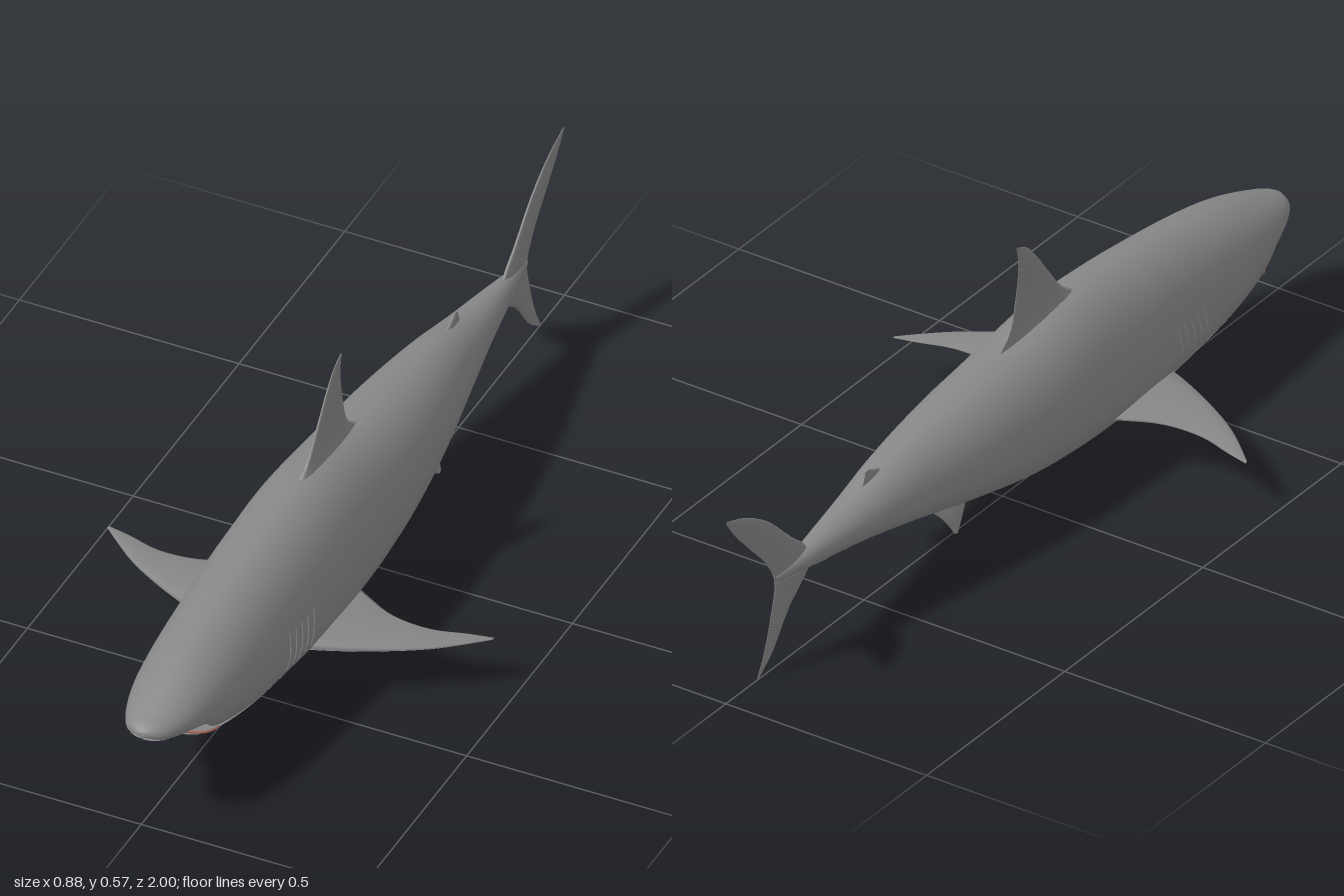
import * as THREE from 'three';

const V = (x, y, z) => new THREE.Vector3(x, y, z);
const paint = (name, color) => {
  const m = new THREE.MeshStandardMaterial({ color });
  m.name = name;
  return m;
};

// Body stations: z, top, bottom, height of widest point, half width, belly edge angle below the side
const STATIONS = [
  [1.0, 0.236, 0.222, 0.229, 0.008, 0.4],
  [0.985, 0.245, 0.21, 0.226, 0.036, 0.4],
  [0.95, 0.258, 0.198, 0.223, 0.06, 0.4],
  [0.9, 0.276, 0.184, 0.218, 0.08, 0.4],
  [0.865, 0.288, 0.168, 0.213, 0.09, 0.4],
  [0.845, 0.294, 0.135, 0.21, 0.095, 0.45],
  [0.8, 0.307, 0.112, 0.2, 0.104, 0.45],
  [0.7, 0.328, 0.086, 0.184, 0.117, 0.45],
  [0.55, 0.35, 0.067, 0.172, 0.128, 0.45],
  [0.4, 0.366, 0.053, 0.166, 0.136, 0.5],
  [0.2, 0.375, 0.047, 0.164, 0.138, 0.7],
  [0.0, 0.347, 0.06, 0.172, 0.131, 0.9],
  [-0.2, 0.326, 0.1, 0.19, 0.113, 0.9],
  [-0.4, 0.3, 0.145, 0.205, 0.08, 0.8],
  [-0.55, 0.266, 0.172, 0.212, 0.053, 0.7],
  [-0.7, 0.24, 0.188, 0.212, 0.027, 0.7],
  [-0.82, 0.217, 0.199, 0.208, 0.004, 0.7],
];
const profile = new THREE.CubicInterpolant(
  STATIONS.map(s => -s[0]), STATIONS.flatMap(s => s.slice(1)), 5);
const station = z => {
  const [top, bottom, mid, width, edge] = profile.evaluate(-z);
  return { top, bottom, mid, width, edge };
};

// Point on the skin at a given z and angle round the body
function skin(z, angle) {
  const s = station(z), k = Math.sin(angle);
  return V(s.width * Math.cos(angle), s.mid + k * (k > 0 ? s.top - s.mid : s.mid - s.bottom), z);
}
// Point on the skin at a given z and height, on one side
function skinAt(z, y, side) {
  const s = station(z);
  const k = y > s.mid ? (y - s.mid) / (s.top - s.mid) : (y - s.mid) / (s.mid - s.bottom);
  const p = skin(z, Math.asin(Math.max(-1, Math.min(1, k))));
  p.x *= side;
  return p;
}

function meshFrom(name, points, faces, materials) {
  const g = new THREE.BufferGeometry().setFromPoints(points);
  g.setIndex(faces.flat());
  g.addGroup(0, faces[0].length, 0);
  g.addGroup(faces[0].length, faces[1].length, 1);
  g.computeVertexNormals();
  const mesh = new THREE.Mesh(g, materials);
  mesh.name = name;
  return mesh;
}

// Streamlined body: grey back and white belly share one smooth skin
function makeBody(back, belly) {
  const rings = 100, upper = 26, lower = 16, n = upper + lower;
  const points = [], faces = [[], []];
  for (let i = 0; i <= rings; i++) {
    const z = 1 - 1.82 * Math.pow(i / rings, 1.4), e = station(z).edge;
    for (let j = 0; j < n; j++) {
      const angle = j <= upper
        ? -e + (Math.PI + 2 * e) * j / upper
        : Math.PI + e + (Math.PI - 2 * e) * (j - upper) / lower;
      points.push(skin(z, angle));
    }
  }
  for (let i = 0; i < rings; i++) {
    for (let j = 0; j < n; j++) {
      const a = i * n + j, b = i * n + (j + 1) % n;
      faces[j < upper ? 0 : 1].push(a, a + n, b, b, a + n, b + n);
    }
  }
  // Close the nose tip
  for (let j = 1; j < n - 1; j++) faces[0].push(0, j, j + 1);
  return meshFrom('body', points, faces, [back, belly]);
}

// Fin lofted through foil sections between a leading and a trailing edge
function makeFin(name, lead, trail, thick, normal, materials) {
  const rows = 20, K = 8, n = 2 * K;
  const front = new THREE.CatmullRomCurve3(lead), rear = new THREE.CatmullRomCurve3(trail);
  const points = [], faces = [[], []];
  for (let i = 0; i <= rows; i++) {
    const u = i / rows, f = u * (thick.length - 1), q = Math.min(Math.floor(f), thick.length - 2);
    const h = thick[q] + (thick[q + 1] - thick[q]) * (f - q);
    const a = front.getPoint(u), b = rear.getPoint(u);
    for (let j = 0; j < n; j++) {
      const t = (1 - Math.cos(Math.PI * j / K)) / 2;
      const foil = 2.6 * Math.sqrt(t) * (1 - t) * h * (j < K ? 1 : -1);
      points.push(a.clone().lerp(b, t).addScaledVector(normal, foil));
    }
  }
  const chord = trail[0].clone().sub(lead[0]), span = lead[1].clone().sub(lead[0]);
  const flip = chord.cross(span).dot(normal) < 0;
  for (let i = 0; i < rows; i++) {
    for (let j = 0; j < n; j++) {
      const a = i * n + j, b = i * n + (j + 1) % n, c = a + n, d = b + n;
      faces[j < K ? 0 : 1].push(...(flip ? [a, c, b, b, c, d] : [a, b, c, b, d, c]));
    }
  }
  return meshFrom(name, points, faces, materials);
}

function makeTube(name, points, radius, material) {
  const curve = new THREE.CatmullRomCurve3(points);
  const mesh = new THREE.Mesh(new THREE.TubeGeometry(curve, 30, radius, 6), material);
  mesh.name = name;
  return mesh;
}

export function createModel() {
  const back = paint('grey back', 0x868686);
  const belly = paint('off-white belly', 0xdcdcdc);
  const red = paint('dull red mouth', 0xb06a60);
  const model = new THREE.Group();
  model.name = 'shark';
  model.add(makeBody(back, belly));

  // Upright fins on the centre line, edges given as [z, y]
  const upright = (name, lead, trail, thick) => model.add(makeFin(name,
    lead.map(([z, y]) => V(0, y, z)), trail.map(([z, y]) => V(0, y, z)), thick, V(1, 0, 0), [back, back]));
  upright('dorsalFin',
    [[0.3, 0.35], [0.22, 0.395], [0.17, 0.455], [0.125, 0.515], [0.09, 0.553], [0.056, 0.57]],
    [[-0.03, 0.335], [0.028, 0.385], [0.048, 0.45], [0.058, 0.515], [0.056, 0.55], [0.05, 0.569]],
    [0.022, 0.009, 0.006, 0.004, 0.002, 0.001]);
  upright('tailFin',
    [[-0.882, 0.002], [-0.83, 0.045], [-0.775, 0.12], [-0.69, 0.205], [-0.775, 0.295], [-0.85, 0.365], [-0.93, 0.413], [-0.997, 0.436]],
    [[-0.888, 0.004], [-0.862, 0.055], [-0.838, 0.13], [-0.824, 0.205], [-0.855, 0.265], [-0.91, 0.325], [-0.965, 0.385], [-1.0, 0.432]],
    [0.001, 0.003, 0.006, 0.009, 0.006, 0.005, 0.003, 0.001]);
  upright('secondDorsalFin',
    [[-0.43, 0.285], [-0.46, 0.297], [-0.485, 0.307]],
    [[-0.51, 0.268], [-0.5, 0.29], [-0.495, 0.305]], [0.006, 0.004, 0.001]);
  upright('analFin',
    [[-0.47, 0.17], [-0.5, 0.162], [-0.53, 0.152]],
    [[-0.55, 0.18], [-0.54, 0.166], [-0.54, 0.153]], [0.006, 0.004, 0.001]);

  for (const side of [1, -1]) {
    const label = side > 0 ? 'left' : 'right';
    const mirror = list => list.map(([x, y, z]) => V(side * x, y, z));

    // Swept side fins, grey above and pale below
    model.add(makeFin(label + 'PectoralFin',
      mirror([[0.09, 0.117, 0.46], [0.15, 0.116, 0.438], [0.25, 0.114, 0.39], [0.34, 0.112, 0.335], [0.4, 0.111, 0.285], [0.438, 0.11, 0.25]]),
      mirror([[0.09, 0.117, 0.2], [0.15, 0.116, 0.235], [0.22, 0.114, 0.268], [0.31, 0.112, 0.274], [0.385, 0.111, 0.254], [0.44, 0.11, 0.242]]),
      [0.017, 0.013, 0.008, 0.005, 0.003, 0.001], V(0, 1, 0), [back, belly]));

    // Small paired fins under the rear body
    model.add(makeFin(label + 'PelvicFin',
      mirror([[0.035, 0.125, -0.17], [0.055, 0.095, -0.22], [0.07, 0.068, -0.262]]),
      mirror([[0.035, 0.14, -0.32], [0.055, 0.105, -0.29], [0.07, 0.07, -0.272]]),
      [0.008, 0.005, 0.001], V(side * 0.83, 0.56, 0), [back, belly]));

    // Five gill folds in the skin colour
    for (let i = 0; i < 5; i++) {
      const z = 0.55 - i * 0.025;
      const fold = [0.225, 0.195, 0.165, 0.145].map((y, k) => skinAt(z + k * 0.006, y, side));
      model.add(makeTube(label + 'GillFold' + (i + 1), fold, 0.002, back));
    }
  }

  // Crescent mouth line wrapping the lower jaw
  const half = [0.815, 0.83, 0.842, 0.852];
  const lips = [
    ...half.map(z => skinAt(z, 0.157, 1)),
    V(0, 0.157, 0.864),
    ...half.slice().reverse().map(z => skinAt(z, 0.157, -1)),
  ];
  model.add(makeTube('mouth', lips, 0.0045, red));
  return model;
}
